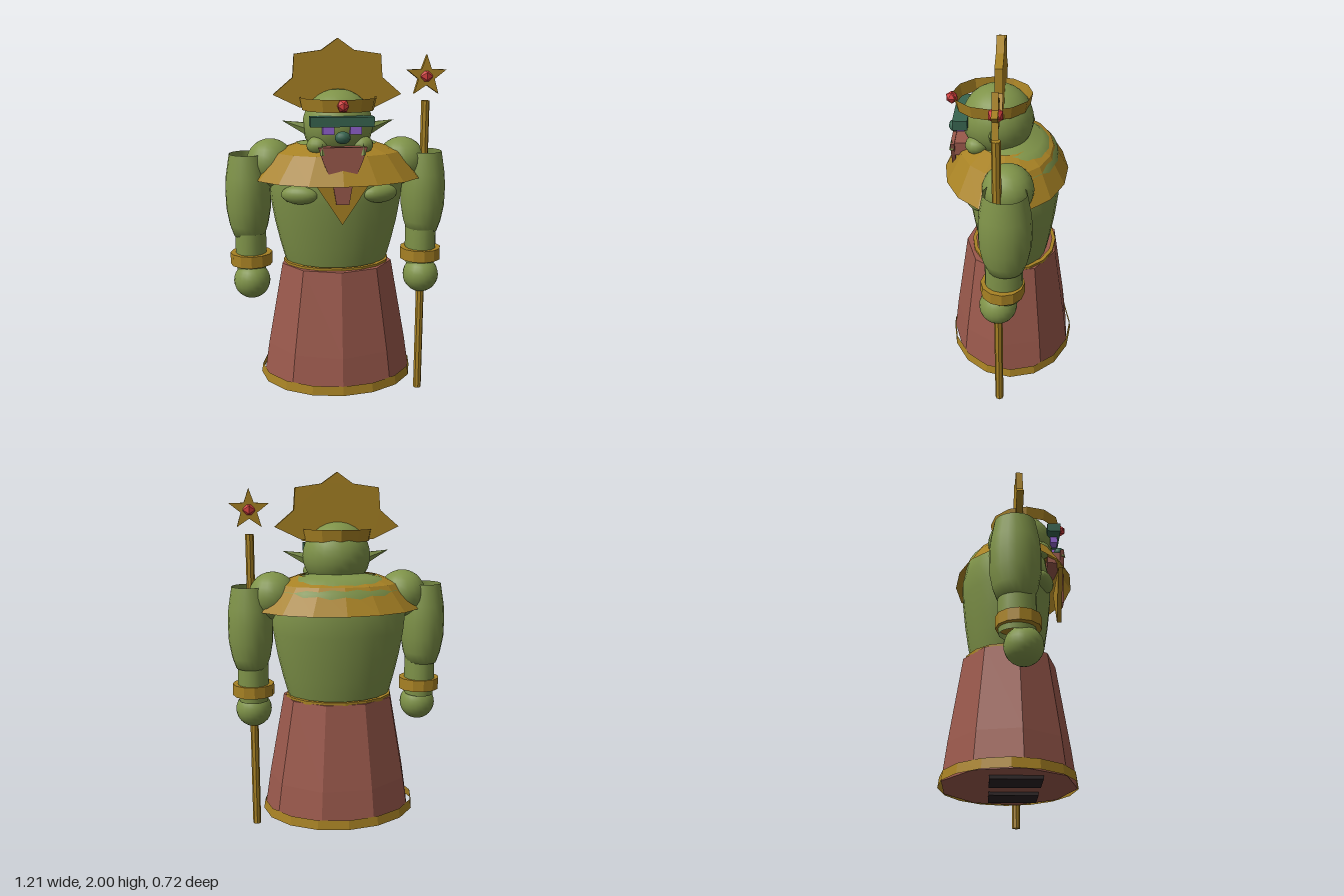
import * as THREE from 'three';

export function createModel() {
  const model = new THREE.Group();
  model.name = 'staffBearer';
  const mat = (name, color) => {
    const m = new THREE.MeshStandardMaterial({ color, side: THREE.DoubleSide });
    m.name = name;
    return m;
  };
  const skin = mat('greenSkin', 0x7f9349);
  const gold = mat('gold', 0xa88224);
  const cloth = mat('redCloth', 0x9a594c);
  const gemRed = mat('gemRed', 0xd23c3c);
  const teal = mat('darkTeal', 0x386450);
  const violet = mat('violet', 0x9262d0);
  const dark = mat('soleDark', 0x2c2324);

  // Helpers
  const flat = (g) => {
    const f = g.index ? g.toNonIndexed() : g;
    f.computeVertexNormals();
    return f;
  };
  const add = (name, geo, material, x = 0, y = 0, z = 0, sx = 1, sy = 1, sz = 1) => {
    const mesh = new THREE.Mesh(geo, material);
    mesh.name = name;
    mesh.position.set(x, y, z);
    mesh.scale.set(sx, sy, sz);
    model.add(mesh);
    return mesh;
  };
  const lathe = (pts, sides) =>
    new THREE.LatheGeometry(pts.map(([r, y]) => new THREE.Vector2(r, y)), sides);
  const plate = (pts, depth) => {
    const g = new THREE.ExtrudeGeometry(
      new THREE.Shape(pts.map(([x, y]) => new THREE.Vector2(x, y))),
      { depth, bevelEnabled: false });
    return g.translate(0, 0, -depth / 2);
  };
  // Mirrors a half outline, listed from the centre line outwards and down
  const mirrored = (half) =>
    [...half, ...half.filter(([x]) => x > 0).reverse().map(([x, y]) => [-x, y])];
  const ball = (r, w = 20, h = 14) => new THREE.SphereGeometry(r, w, h);

  // Robe, hem and soles
  add('robe', flat(lathe([[0, 0.12], [0.425, 0.12], [0.395, 0.32], [0.31, 0.785], [0, 0.785]], 9)),
    cloth, 0, 0, 0, 1, 1, 0.835);
  add('hem', flat(lathe([[0.434, 0.118], [0.426, 0.17]], 16)), gold, 0, 0, 0, 1, 1, 0.83);
  add('waistBand', flat(lathe([[0.295, 0.78], [0.295, 0.798], [0.27, 0.798]], 16)),
    gold, 0, 0, -0.01, 1, 1, 0.8);
  for (const s of [-1, 1])
    add('sole', new THREE.BoxGeometry(0.19, 0.02, 0.26), dark, s * 0.18, 0.112, 0.03);

  // Torso and chest
  add('torso', lathe([[0.27, 0.76], [0.29, 0.82], [0.312, 0.9], [0.34, 1.02], [0.362, 1.15],
    [0.372, 1.26], [0.34, 1.38], [0.22, 1.45], [0, 1.48]], 28), skin, 0, 0, -0.01, 1, 1, 0.68);
  for (const s of [-1, 1]) {
    const chest = add('chest', ball(1), skin, s * 0.215, 1.2, 0.185, 0.1, 0.05, 0.05);
    chest.rotation.y = s * 0.35;
  }

  // Shoulder cape
  add('cape', flat(lathe([[0.462, 1.27], [0.345, 1.41], [0.215, 1.455]], 16)),
    gold, 0, 0, 0.03, 1, 1, 0.715);

  // Pendant and the long narrow beard hanging behind the cape edge
  add('pendant', plate(mirrored([[0, 1.32], [0.17, 1.32], [0, 1.06]]), 0.025), gold, 0, 0, 0.288);
  add('beard', plate(mirrored([[0, 1.465], [0.125, 1.465], [0.1, 1.39], [0.05, 1.27], [0.033, 1.17]]), 0.02),
    cloth, 0, 0, 0.305);
  add('jaw', new THREE.BoxGeometry(0.2, 0.07, 0.08), cloth, 0, 1.425, 0.262);

  // Head and face
  add('head', ball(0.187, 24, 16), skin, 0, 1.555, 0.075);
  add('brow', new THREE.BoxGeometry(0.325, 0.05, 0.075), teal, 0, 1.59, 0.258);
  add('nose', ball(0.04, 14, 10), teal, 0, 1.512, 0.3, 1, 0.8, 0.8);
  for (const s of [-1, 1]) {
    add('eye', new THREE.BoxGeometry(0.058, 0.045, 0.04), violet, s * 0.07, 1.548, 0.262);
    const ear = add('ear', flat(new THREE.ConeGeometry(0.04, 0.15, 6)), skin,
      s * 0.225, 1.557, 0.095, 1, 1, 0.6);
    ear.rotation.z = -s * 1.25;
    add('cheek', ball(0.06, 14, 10), skin, s * 0.115, 1.46, 0.18, 1, 0.8, 1);
    add('tusk', flat(new THREE.ConeGeometry(0.014, 0.06, 6)), skin, s * 0.105, 1.455, 0.31);
  }

  // Crown: flared band, sunburst plate and jewel
  add('crownBand', flat(lathe([[0.19, 1.635], [0.203, 1.7]], 12)), gold, 0, 0, 0.1, 1, 1, 1.01);
  add('crownPlate', plate(mirrored([[0, 2], [0.085, 1.94], [0.228, 1.92], [0.237, 1.8],
    [0.34, 1.712], [0.2, 1.645]]), 0.04), gold, 0, 0, 0.057);
  add('crownJewel', flat(new THREE.IcosahedronGeometry(0.033, 0)), gemRed, 0, 1.67, 0.31);

  // Arms
  for (const s of [-1, 1]) {
    add('shoulder', ball(0.13), skin, s * 0.36, 1.347, 0.01);
    add('upperArm', lathe([[0.06, 0.95], [0.085, 0.95], [0.105, 1.01], [0.121, 1.1], [0.123, 1.2],
      [0.118, 1.28], [0.098, 1.4]], 20), skin, s * 0.483, 0, 0.02, 1, 1, 1.1);
    add('forearm', lathe([[0.08, 0.76], [0.086, 0.86], [0.085, 0.97]], 18),
      skin, s * 0.476, 0, 0.028, 1, 1, 1.15);
    add('bracelet', flat(new THREE.CylinderGeometry(0.115, 0.115, 0.065, 12)),
      gold, s * 0.475, 0.823, 0.035);
    add('hand', ball(0.1), skin, s * 0.475, 0.7, 0.06);
  }

  // Staff with star and jewel
  add('staffShaft', flat(new THREE.CylinderGeometry(0.023, 0.023, 1.675, 8)), gold, 0.475, 0.8375, 0.06);
  const star = [];
  for (let i = 0; i < 10; i++) {
    const r = i % 2 ? 0.046 : 0.112;
    const a = Math.PI / 2 + i * Math.PI / 5;
    star.push([r * Math.cos(a), r * Math.sin(a)]);
  }
  add('staffStar', plate(star, 0.03), gold, 0.475, 1.803, 0.06);
  add('staffJewel', flat(new THREE.IcosahedronGeometry(0.039, 0)), gemRed, 0.475, 1.803, 0.06);

  return model;
}
